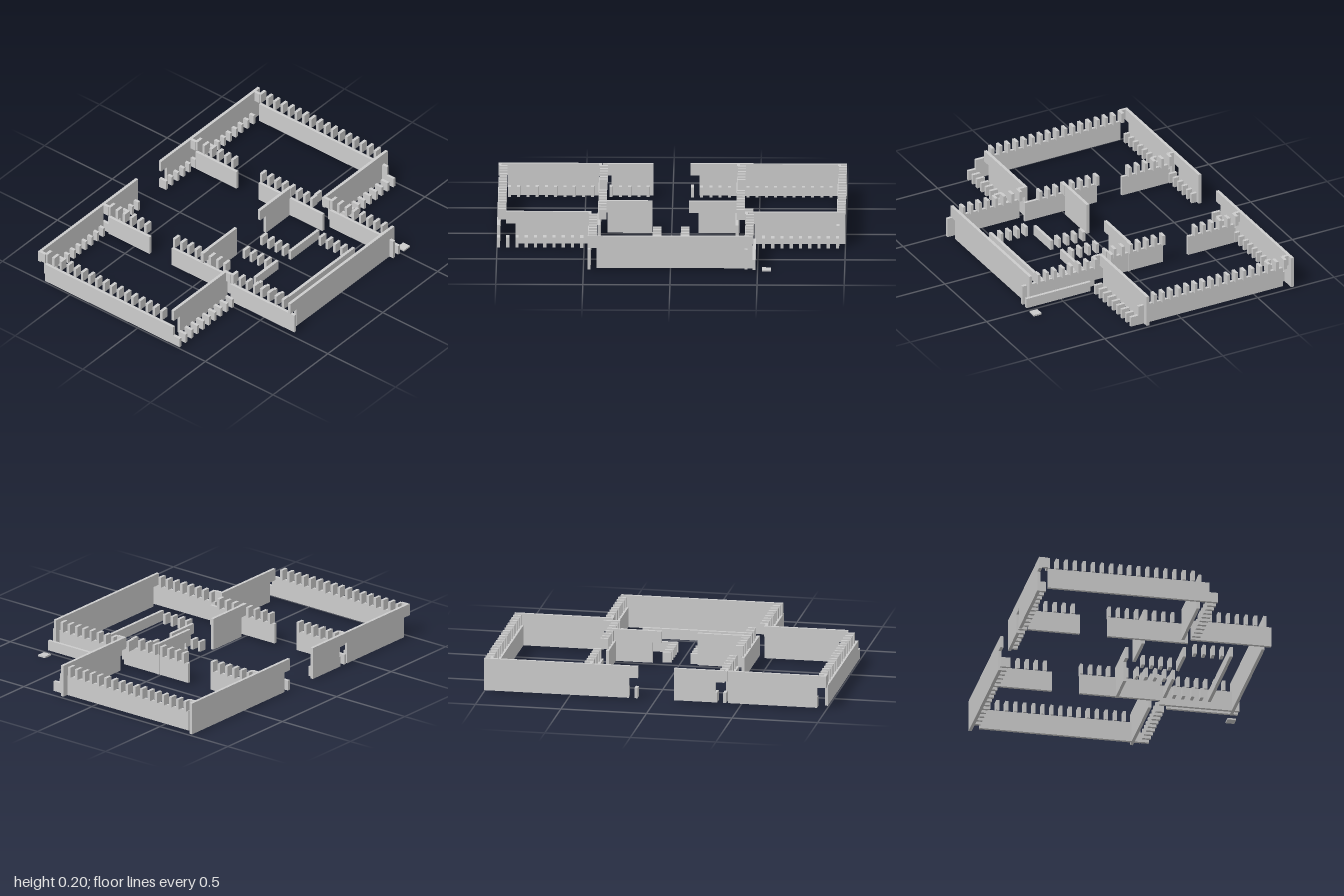
import * as THREE from 'three';

const material = new THREE.MeshStandardMaterial({ color: 0xcccccc, flatShading: true });
const T = 0.018;               // wall thickness
const STEP = 0.0531;           // spacing of battlements
const LOW = 0.01, MID = 0.07, TOP = 0.13, CREST = 0.2;

// Box given by its limits on each axis
function block(parent, name, x0, x1, y0, y1, z0, z1) {
  const mesh = new THREE.Mesh(new THREE.BoxGeometry(x1 - x0, y1 - y0, z1 - z0), material);
  mesh.position.set((x0 + x1) / 2, (y0 + y1) / 2, (z0 + z1) / 2);
  mesh.name = name;
  parent.add(mesh);
}

function section(parent, name) {
  const group = new THREE.Group();
  group.name = name;
  parent.add(group);
  return group;
}

// Wall along x: lower slab set in at its left end, full-length parapet above
function crossWall(parent, name, x0, x1, z) {
  const g = section(parent, name);
  block(g, 'slab', x0 + 0.053, x1, LOW, TOP, z, z + T);
  block(g, 'parapet', x0, x1, TOP, CREST, z, z + T);
}

// Row of low teeth standing in front of a cross wall
function teeth(parent, name, x, z, count) {
  const g = section(parent, name);
  for (let i = 0; i < count; i++) {
    const c = x + i * STEP;
    block(g, 'tooth', c - 0.009, c + 0.009, LOW, MID, z, z + 0.05);
  }
}

// Wall along z: slab with merlons on top, optional raised corner piece at the back end
function sideWall(parent, name, x, z0, z1, firstMerlon, count, corner) {
  const g = section(parent, name);
  block(g, 'slab', x, x + T, LOW, TOP, z0 + (corner ? 0.053 : 0), z1);
  if (corner) block(g, 'cornerPiece', x, x + T, 0.138, CREST, z0, z0 + 0.053);
  for (let i = 0; i < count; i++) {
    const c = firstMerlon + i * STEP;
    block(g, 'merlon', x + 0.006, x + 0.052, 0.138, CREST, c - 0.009, c + 0.009);
  }
}

export function createModel() {
  const model = new THREE.Group();
  model.name = 'wallPlan';

  // Back walls either side of the entrance
  crossWall(model, 'backWallOuter', -1, -0.425, -0.737);
  crossWall(model, 'backWallInner', -0.405, -0.11, -0.737);
  crossWall(model, 'backWallRight', 0.1, 1, -0.737);
  teeth(model, 'backTeethLeft', -0.938, -0.737, 16);
  teeth(model, 'backTeethRight', 0.112, -0.737, 16);

  // Middle and front walls
  crossWall(model, 'middleWallLeft', -0.42, -0.11, -0.005);
  crossWall(model, 'middleWallRight', 0.1, 0.39, -0.005);
  crossWall(model, 'frontWallLeft', -0.948, -0.46, 0.208);
  crossWall(model, 'frontWallRight', 0.425, 1, 0.208);
  teeth(model, 'frontTeethLeft', -0.991, 0.26, 10);
  teeth(model, 'frontTeethRight', 0.53, 0.26, 9);

  // Outer side walls
  for (const [name, x] of [['outerWallLeft', -1], ['outerWallRight', 0.948]])
    sideWall(model, name, x, -0.737, 0.26, -0.682, 17, true);

  // Inner side walls with a doorway between their two lengths
  for (const [name, x] of [['innerWallLeft', -0.424], ['innerWallRight', 0.368]]) {
    sideWall(model, name + 'Back', x, -0.737, -0.38, -0.682, 6, true);
    sideWall(model, name + 'Front', x, -0.217, 0.255, -0.204, 8, false);
  }
  block(model, 'linkMerlon', 0.42, 0.47, 0.138, CREST, 0.152, 0.17);

  // Porch
  sideWall(model, 'porchWallLeft', -0.476, 0.208, 0.732, 0.27, 8, true);
  sideWall(model, 'porchWallRight', 0.424, 0.208, 0.732, 0.27, 8, true);
  crossWall(model, 'porchFrontWall', -0.476, 0.47, 0.686);
  block(model, 'lowSideWall', 0.47, 0.488, LOW, MID, 0.313, 0.732);
  block(model, 'groundPlate', 0.525, 0.578, 0, 0.01, 0.682, 0.732);

  // Low layout on the porch floor
  const floor = section(model, 'floorLayout');
  block(floor, 'longBar', -0.315, 0.313, 0, 0.06, 0.522, 0.54);
  block(floor, 'shortBarLeft', -0.263, -0.058, 0, 0.06, 0.259, 0.277);
  block(floor, 'shortBarRight', 0.054, 0.313, 0, 0.06, 0.259, 0.277);
  for (const [x, z] of [[-0.315, 0.32], [0.263, 0.32], [-0.107, 0.058], [0.054, 0.058]])
    for (let i = 0; i < 4; i++) {
      const c = z + i * STEP;
      block(floor, 'floorTooth', x, x + 0.05, 0, 0.06, c - 0.009, c + 0.009);
    }

  return model;
}
